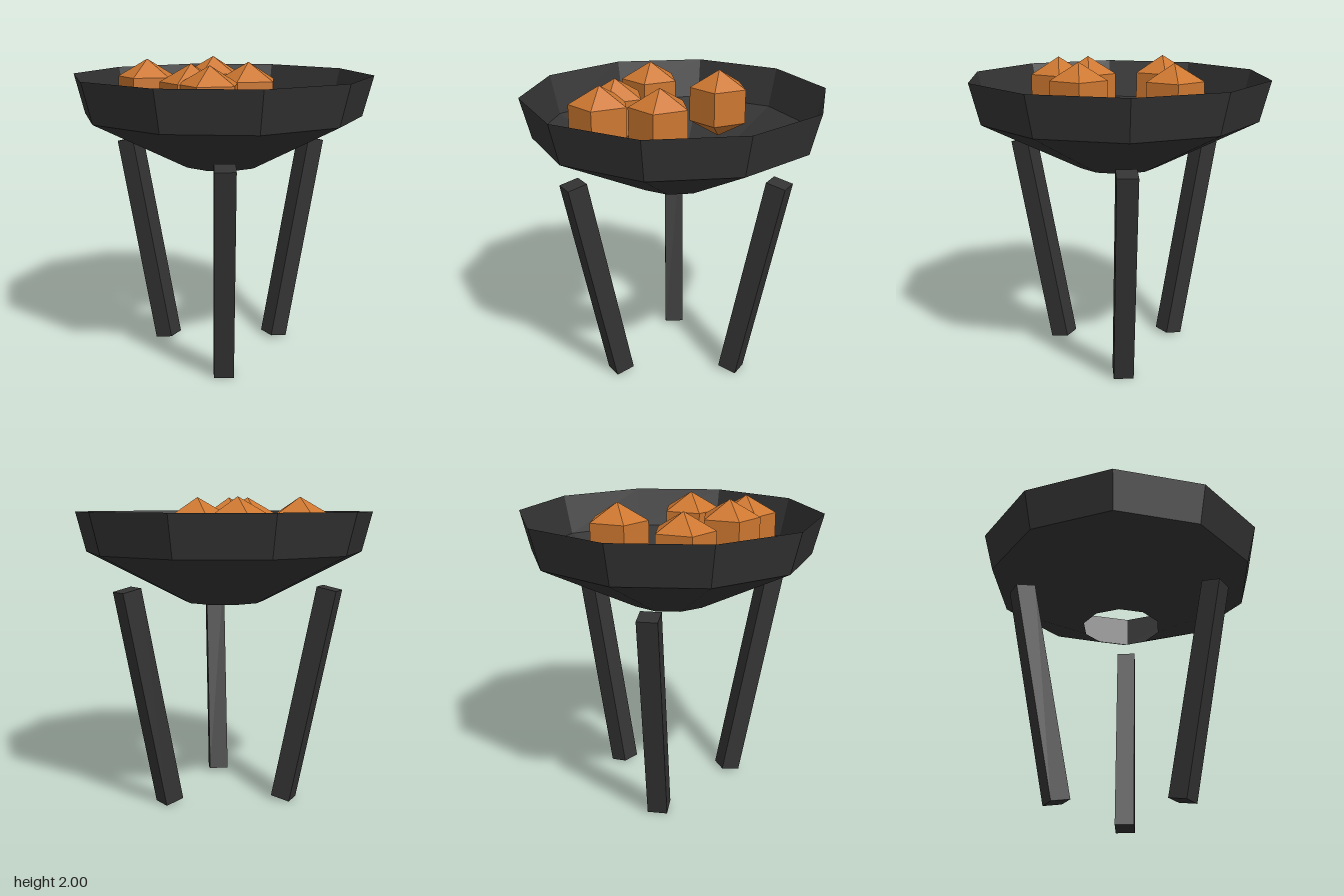
import * as THREE from 'three';

export function createModel() {
  const iron = new THREE.MeshStandardMaterial({ color: 0x333333, flatShading: true, side: THREE.DoubleSide });
  iron.name = 'dark iron';
  const ember = new THREE.MeshStandardMaterial({ color: 0xcd7730, flatShading: true });
  ember.name = 'ember orange';

  const model = new THREE.Group();
  model.name = 'brazier';

  const add = (name, geometry, material, parent = model) => {
    const mesh = new THREE.Mesh(geometry, material);
    mesh.name = name;
    parent.add(mesh);
    return mesh;
  };

  // Open ten-sided bowl: sloped floor with a hole, then a steep rim
  const profile = [[0.265, 1.315], [0.915, 1.643], [0.982, 1.905]].map(([r, y]) => new THREE.Vector2(r, y));
  add('bowl', new THREE.LatheGeometry(profile, 10), iron).rotation.y = Math.PI / 10;

  // Three square legs leaning outwards, one towards +x
  const legGeometry = new THREE.BoxGeometry(0.13, 1.445, 0.13);
  for (let i = 0; i < 3; i++) {
    const pivot = new THREE.Group();
    pivot.name = 'legPivot' + (i + 1);
    pivot.rotation.y = (i * Math.PI * 2) / 3;
    model.add(pivot);
    const leg = add('leg' + (i + 1), legGeometry, iron, pivot);
    leg.position.set(0.588, 0.721, 0);
    leg.rotation.z = -0.205;
  }

  // Five-sided glowing coals, all at one height
  const coalGeometry = new THREE.SphereGeometry(0.225, 5, 3);
  const coals = [[-0.375, -0.33], [0.14, -0.345], [-0.335, 0.185], [0.035, 0.26], [-0.32, 0.385]];
  coals.forEach(([x, z], i) => {
    const coal = add('coal' + (i + 1), coalGeometry, ember);
    coal.position.set(x, 1.775, z);
    coal.rotation.y = Math.PI;
  });

  return model;
}
